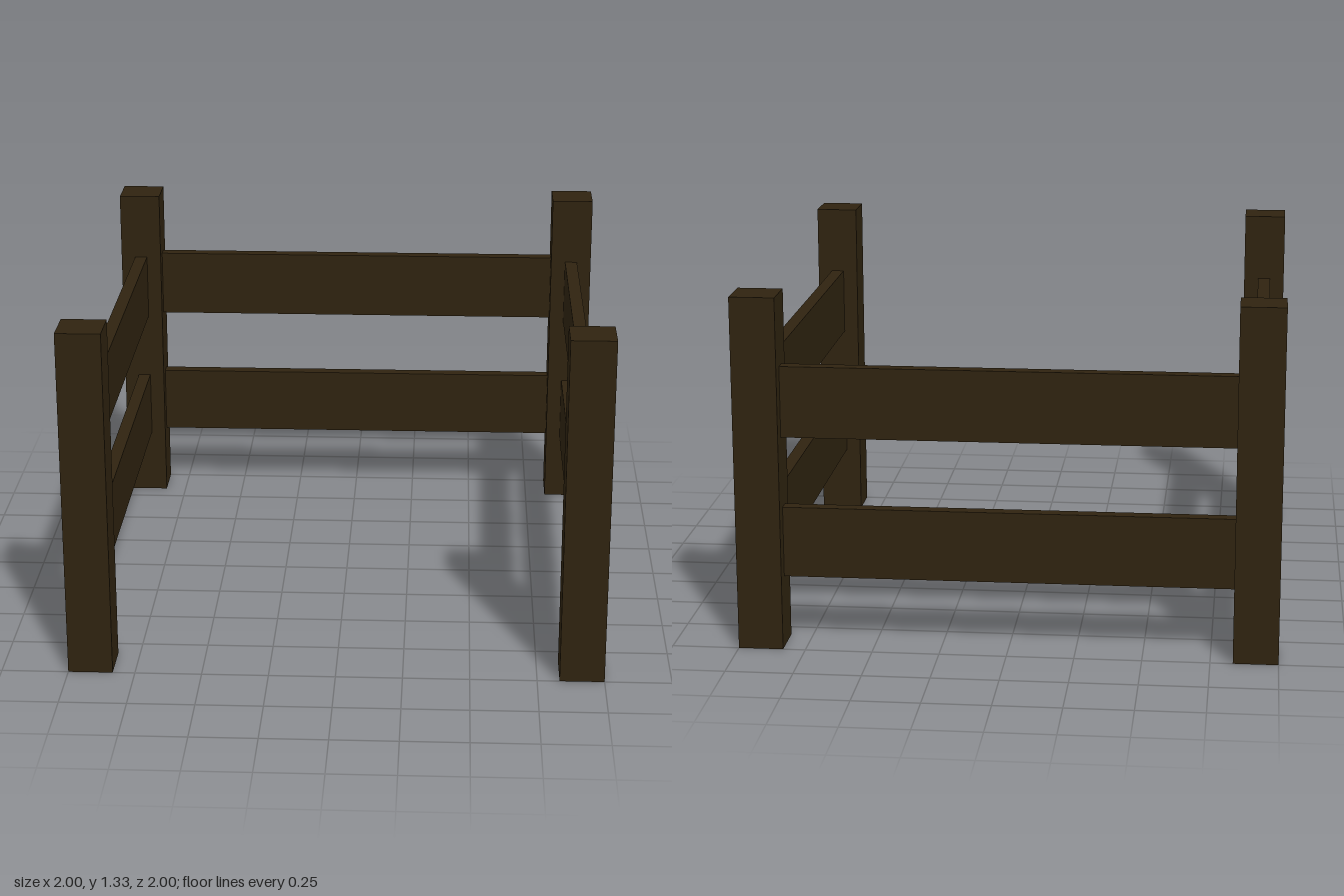
import * as THREE from 'three';

export function createModel() {
  const model = new THREE.Group();
  model.name = 'fencePen';

  const darkWood = new THREE.MeshStandardMaterial({ color: 0x2f2310 });
  darkWood.name = 'darkWood';

  const postWidth = 1 / 6, postHeight = 4 / 3;
  const railHeight = 4 / 15, railThickness = 0.05;
  const edge = 1 - postWidth / 2; // centre line of the fence
  const railLength = 2 - 2 * postWidth;

  const postGeometry = new THREE.BoxGeometry(postWidth, postHeight, postWidth);
  const railGeometry = new THREE.BoxGeometry(railLength, railHeight, railThickness);

  // Four corner posts
  for (const [xName, x] of [['Left', edge], ['Right', -edge]]) {
    for (const [zName, z] of [['front', edge], ['back', -edge]]) {
      const post = new THREE.Mesh(postGeometry, darkWood);
      post.name = `${zName}${xName}Post`;
      post.position.set(x, postHeight / 2, z);
      model.add(post);
    }
  }

  // Two rails on each closed side; the front stays open
  const sides = [
    ['back', 0, -edge, 0],
    ['left', edge, 0, Math.PI / 2],
    ['right', -edge, 0, Math.PI / 2],
  ];
  for (const [side, x, z, turn] of sides) {
    for (const [level, y] of [['Lower', 0.4], ['Upper', 0.4 + 2 * railHeight]]) {
      const rail = new THREE.Mesh(railGeometry, darkWood);
      rail.name = `${side}${level}Rail`;
      rail.position.set(x, y, z);
      rail.rotation.y = turn;
      model.add(rail);
    }
  }

  return model;
}
